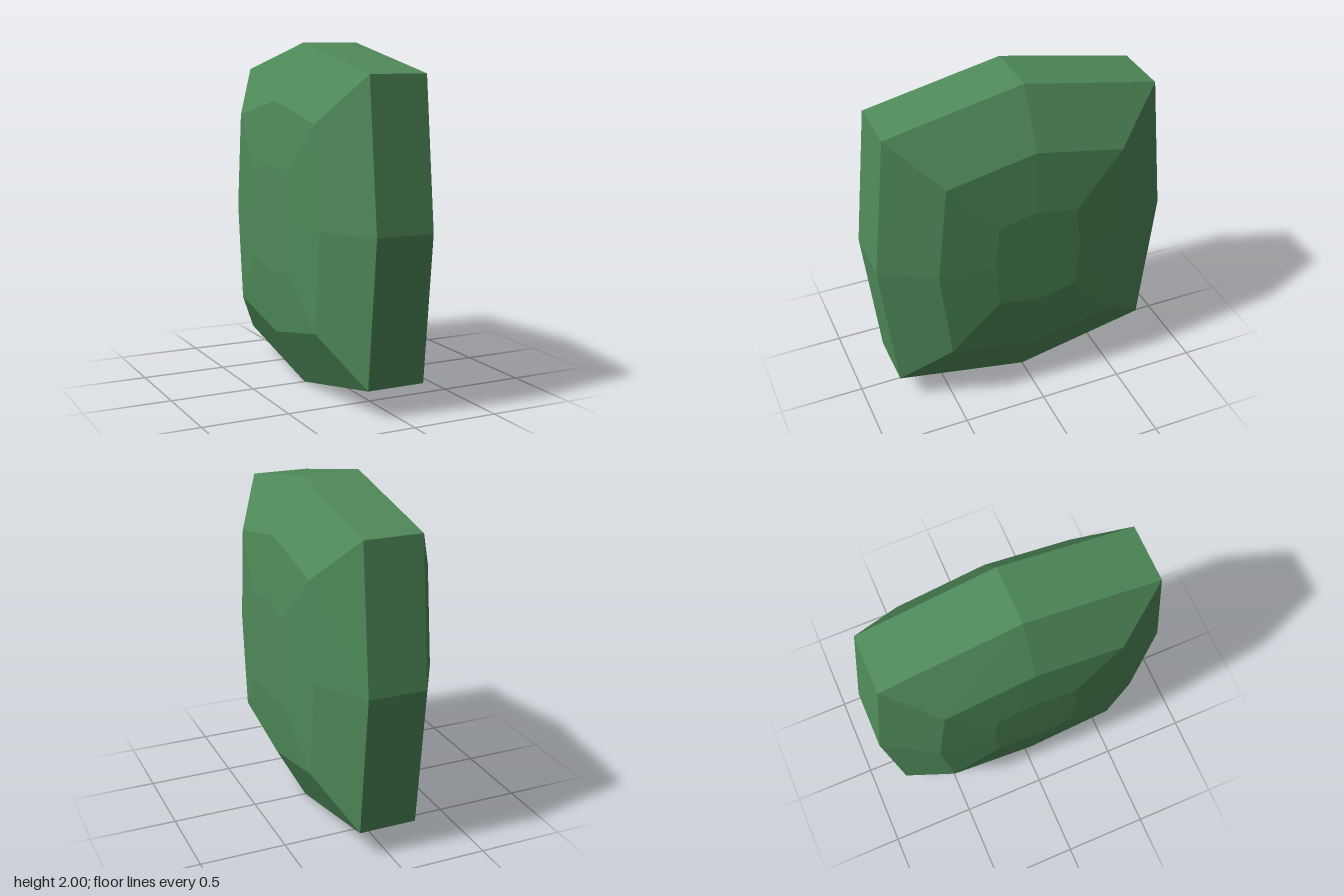
import * as THREE from 'three';

// One eight-cornered ring around the x axis, running from +y towards +z
function ring(x, top, cornerY, cornerZ, side) {
  return [
    [x, top, 0], [x, cornerY, cornerZ], [x, 0, side], [x, -cornerY, cornerZ],
    [x, -top, 0], [x, -cornerY, -cornerZ], [x, 0, -side], [x, cornerY, -cornerZ],
  ];
}

export function createModel() {
  const green = new THREE.MeshStandardMaterial({ color: 0x4f8a59, flatShading: true });
  green.name = 'gem green';

  // Half profile: crown facet, bevel and girdle, mirrored across x = 0
  const half = [
    [0.388, 0.31, 0.265, 0.235, 0.262],
    [0.35, 0.672, 0.568, 0.52, 0.582],
    [0.17, 1, 0.837, 0.798, 0.886],
  ];
  const rings = [
    ...half.map(([x, ...size]) => ring(-x, ...size)),
    ...half.slice().reverse().map(([x, ...size]) => ring(x, ...size)),
  ];

  const positions = [];
  const triangle = (a, b, c) => positions.push(...a, ...b, ...c);
  const first = rings[0];
  const last = rings[rings.length - 1];
  for (let i = 0; i < 8; i++) {
    const n = (i + 1) % 8;
    // Facets between neighbouring rings
    for (let j = 0; j < rings.length - 1; j++) {
      const [a, b] = [rings[j], rings[j + 1]];
      triangle(a[i], a[n], b[n]);
      triangle(a[i], b[n], b[i]);
    }
    // Flat faces closing both sides
    triangle([first[0][0], 0, 0], first[n], first[i]);
    triangle([last[0][0], 0, 0], last[i], last[n]);
  }

  const geometry = new THREE.BufferGeometry();
  geometry.setAttribute('position', new THREE.Float32BufferAttribute(positions, 3));
  geometry.computeVertexNormals();

  const gem = new THREE.Mesh(geometry, green);
  gem.name = 'facetedGem';
  gem.position.y = 1;

  const model = new THREE.Group();
  model.name = 'gem';
  model.add(gem);
  return model;
}
